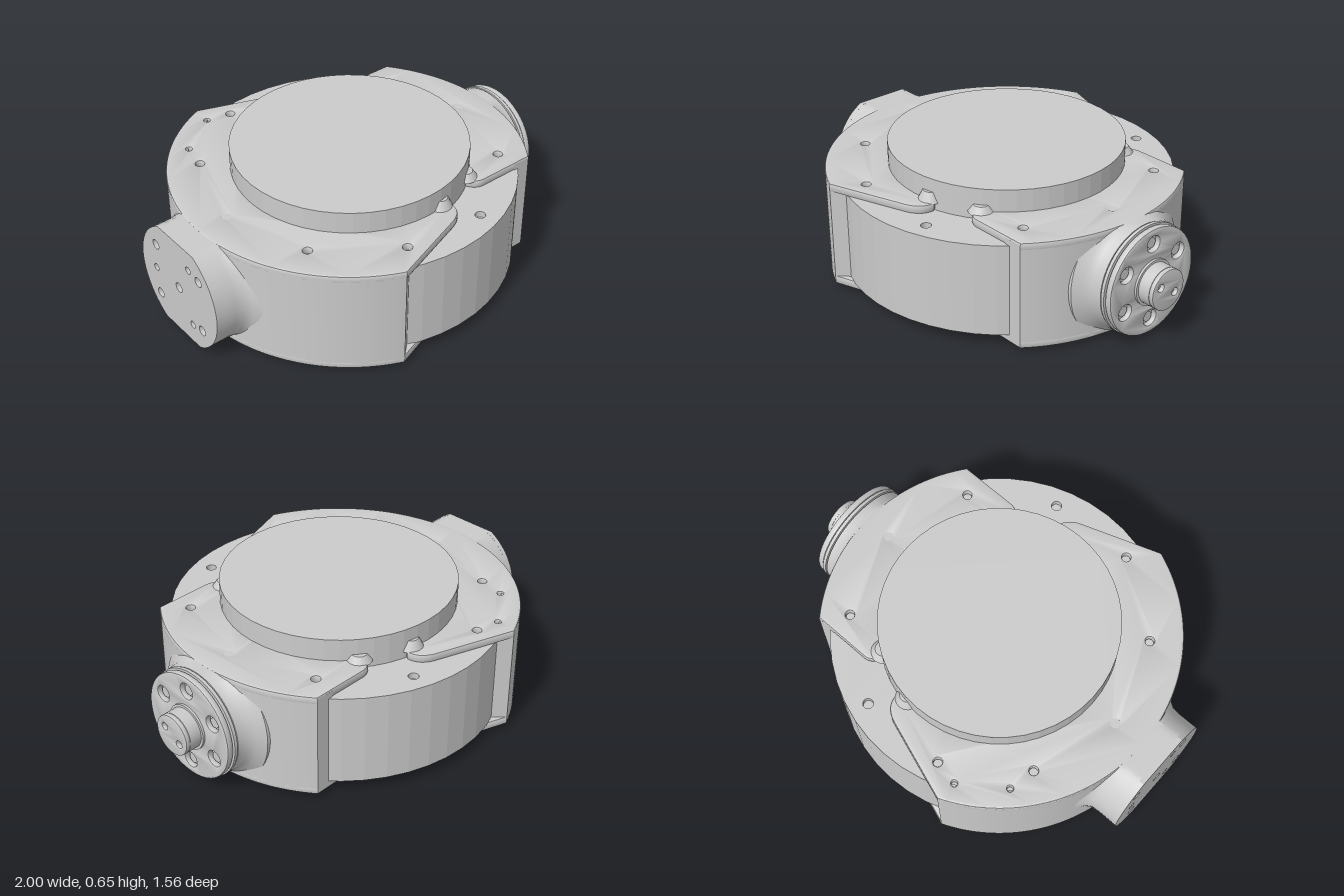
import * as THREE from 'three';
import { toCreasedNormals } from 'three/addons/utils/BufferGeometryUtils.js';

const CX = -0.037, AXLE_Y = 0.283, TAU = Math.PI * 2;
const material = new THREE.MeshStandardMaterial({ color: 0xcccccc });

function add(parent, name, geometry) {
  const mesh = new THREE.Mesh(geometry, material);
  mesh.name = name;
  parent.add(mesh);
  return mesh;
}

function circle(x, y, r) {
  return new THREE.Shape().absarc(x, y, r, 0, TAU, false);
}

function punch(shape, points, r) {
  for (const [x, y] of points) shape.holes.push(new THREE.Path().absarc(x, y, r, 0, TAU, true));
  return shape;
}

function extrude(shape, length, bevel, segments) {
  return new THREE.ExtrudeGeometry(shape, {
    depth: length - 2 * bevel, bevelEnabled: bevel > 0, bevelSize: bevel, bevelThickness: bevel,
    bevelOffset: -bevel, bevelSegments: 2, curveSegments: segments,
  }).translate(0, 0, bevel);
}

// Slab drawn in (x, z), filling bottom..top in y
function slab(parent, name, shape, bottom, top, bevel = 0, segments = 48, crease = 0.5) {
  const g = extrude(shape, top - bottom, bevel, segments).rotateX(Math.PI / 2).translate(0, top, 0);
  return add(parent, name, toCreasedNormals(g, crease));
}

// Plate drawn in (-z, y) around the axle, filling x0..x1
function axlePlate(parent, name, shape, x0, x1, bevel = 0) {
  const g = extrude(shape, x1 - x0, bevel, 24).rotateY(Math.PI / 2).translate(x0, AXLE_Y, 0);
  return add(parent, name, toCreasedNormals(g, 0.5));
}

// Lathe around the x axle, flattened at the top and bottom of the casing
function axleLathe(parent, name, profile) {
  const points = profile.map(([x, r]) => new THREE.Vector2(r, x));
  const g = new THREE.LatheGeometry(points, 64).rotateZ(-Math.PI / 2).translate(0, AXLE_Y, 0);
  const p = g.attributes.position;
  for (let i = 0; i < p.count; i++) p.setY(i, THREE.MathUtils.clamp(p.getY(i), 0.024, 0.542));
  return add(parent, name, toCreasedNormals(g, 0.5));
}

function ringPoints(count, r, start = 0, cx = 0) {
  return Array.from({ length: count }, (_, i) => {
    const a = start + i * TAU / count;
    return [cx + r * Math.cos(a), r * Math.sin(a)];
  });
}

// C-shaped bracket with two hooks
function leftOutline() {
  const s = new THREE.Shape();
  s.absarc(CX, 0, 0.845, 1.963, TAU - 1.963, false);
  s.lineTo(0.02, -0.65);
  s.quadraticCurveTo(0.1, -0.62, 0.1, -0.55);
  s.absarc(CX, 0, 0.505, TAU - 1.377, 1.377, true);
  s.lineTo(0.1, 0.55);
  s.quadraticCurveTo(0.1, 0.62, 0.02, 0.65);
  return s;
}

// Square-sided bracket opposite
function rightOutline() {
  const s = new THREE.Shape();
  s.absarc(CX, 0, 0.83, -0.662, 0.662, false);
  s.lineTo(0.34, 0.51);
  s.quadraticCurveTo(0.28, 0.51, 0.26, 0.44);
  s.absarc(CX, 0, 0.505, 0.966, -0.966, true);
  s.lineTo(0.26, -0.44);
  s.quadraticCurveTo(0.28, -0.51, 0.34, -0.51);
  return s;
}

function wallOutline(outer, outerStart, outerEnd, innerStart, innerEnd) {
  const s = new THREE.Shape();
  s.absarc(CX, 0, outer, outerStart, outerEnd, false);
  s.absarc(CX, 0, 0.76, innerEnd, innerStart, true);
  return s;
}

export function createModel() {
  const model = new THREE.Group();
  const bolts = ringPoints(10, 0.69, 0, CX);
  const pick = (...ids) => ids.map((i) => bolts[i]);

  // Round core, with bolt holes in its upper and lower lids
  const core = new THREE.Group();
  core.name = 'core';
  model.add(core);
  slab(core, 'coreBody', circle(CX, 0, 0.78), 0.09, 0.475, 0, 24, 0.1);
  const lid = () => punch(circle(CX, 0, 0.78), pick(2, 8), 0.024);
  slab(core, 'coreTop', lid(), 0.475, 0.505, 0, 24, 0.1);
  slab(core, 'coreBottom', lid(), 0.06, 0.09, 0, 24, 0.1);
  slab(model, 'topDisc', circle(CX, 0, 0.553), 0.5, 0.652, 0, 24, 0.1);

  // Brackets gripping the core from both sides
  const brackets = [
    ['leftBracket', leftOutline, pick(3, 4, 5, 6, 7), [[-0.37, -0.68], [-0.57, -0.535]],
      wallOutline(0.845, 1.963, TAU - 1.963, 1.91, TAU - 1.91)],
    ['rightBracket', rightOutline, pick(9, 0, 1), [],
      wallOutline(0.83, -0.662, 0.662, -0.736, 0.736)],
  ];
  for (const [name, outline, holes, pinHoles, wall] of brackets) {
    const bracket = new THREE.Group();
    bracket.name = name;
    model.add(bracket);
    slab(bracket, 'upperPlate', punch(punch(outline(), holes, 0.02), pinHoles, 0.014), 0.503, 0.545, 0.01);
    slab(bracket, 'lowerPlate', punch(outline(), holes, 0.02), 0.022, 0.064, 0.01);
    slab(bracket, 'wall', wall, 0.032, 0.535);
  }

  // Raised hook tips beside the top disc
  for (const side of [-1, 1]) {
    for (const [x, z, top] of [[0.05, 0.525, 0.588], [0.285, 0.435, 0.575]]) {
      const tip = add(model, 'hookTip', new THREE.CylinderGeometry(0.035, 0.06, top - 0.54, 16));
      tip.position.set(x, (top + 0.54) / 2, side * z);
    }
  }

  // Underside: stepped discs with three pins and three holes
  slab(model, 'bottomDisc', circle(CX, 0, 0.45), 0.03, 0.065);
  const pinAngle = Math.atan2(-0.14, 0.194);
  slab(model, 'bottomHub', punch(circle(CX, 0, 0.317), ringPoints(3, 0.21, pinAngle + Math.PI, CX), 0.026), 0.02, 0.035);
  for (const [x, z] of ringPoints(3, 0.21, pinAngle, CX)) {
    const pin = add(model, 'bottomPin', new THREE.CylinderGeometry(0.03, 0.03, 0.03, 24));
    pin.position.set(x, 0.015, z);
  }

  // Mounting boss on the left bracket, flat above and below
  axleLathe(model, 'mountBoss', [[-0.975, 0], [-0.975, 0.292], [-0.9, 0.292], [-0.86, 0.296], [-0.83, 0.315], [-0.8, 0.36], [-0.7, 0.36]].reverse().map(([x, r]) => [x, r]).reverse());
  const face = new THREE.Shape();
  const flat = Math.asin(0.259 / 0.292);
  face.absarc(0, 0, 0.292, -flat, flat, false);
  face.absarc(0, 0, 0.292, Math.PI - flat, Math.PI + flat, false);
  punch(face, [[0, 0], [0.165, 0.14], [0.165, -0.14], [-0.165, 0.14], [-0.165, -0.14]], 0.024);
  punch(face, ringPoints(3, 0.18), 0.018);
  axlePlate(model, 'mountFace', face, -1, -0.975);

  // Output neck flaring out of the right bracket
  axleLathe(model, 'outputNeck', [[0.6, 0.33], [0.74, 0.33], [0.77, 0.29], [0.8, 0.268], [0.84, 0.259], [0.846, 0.259], [0.846, 0.245], [0.87, 0.245], [0.87, 0]]);

  // Output flange with six counterbored screw holes
  const screws = ringPoints(6, 0.185, Math.PI / 2);
  axlePlate(model, 'flangeBase', circle(0, 0, 0.262), 0.852, 0.868);
  axlePlate(model, 'flange', punch(circle(0, 0, 0.258), screws, 0.038), 0.872, 0.904, 0.008);
  for (const [z, y] of screws) {
    const screw = add(model, 'screw', new THREE.CylinderGeometry(0.025, 0.025, 0.022, 20).rotateZ(Math.PI / 2));
    screw.position.set(0.877, AXLE_Y + y, z);
  }

  // Central hub with two small holes
  axlePlate(model, 'hubCollar', circle(0, 0, 0.11), 0.9, 0.915);
  axlePlate(model, 'hubBody', circle(0, 0, 0.098), 0.91, 0.975);
  axlePlate(model, 'hubFace', punch(circle(0, 0, 0.098), [[-0.045, 0.026], [0.045, -0.026]], 0.018), 0.975, 0.998, 0.004);
  return model;
}
